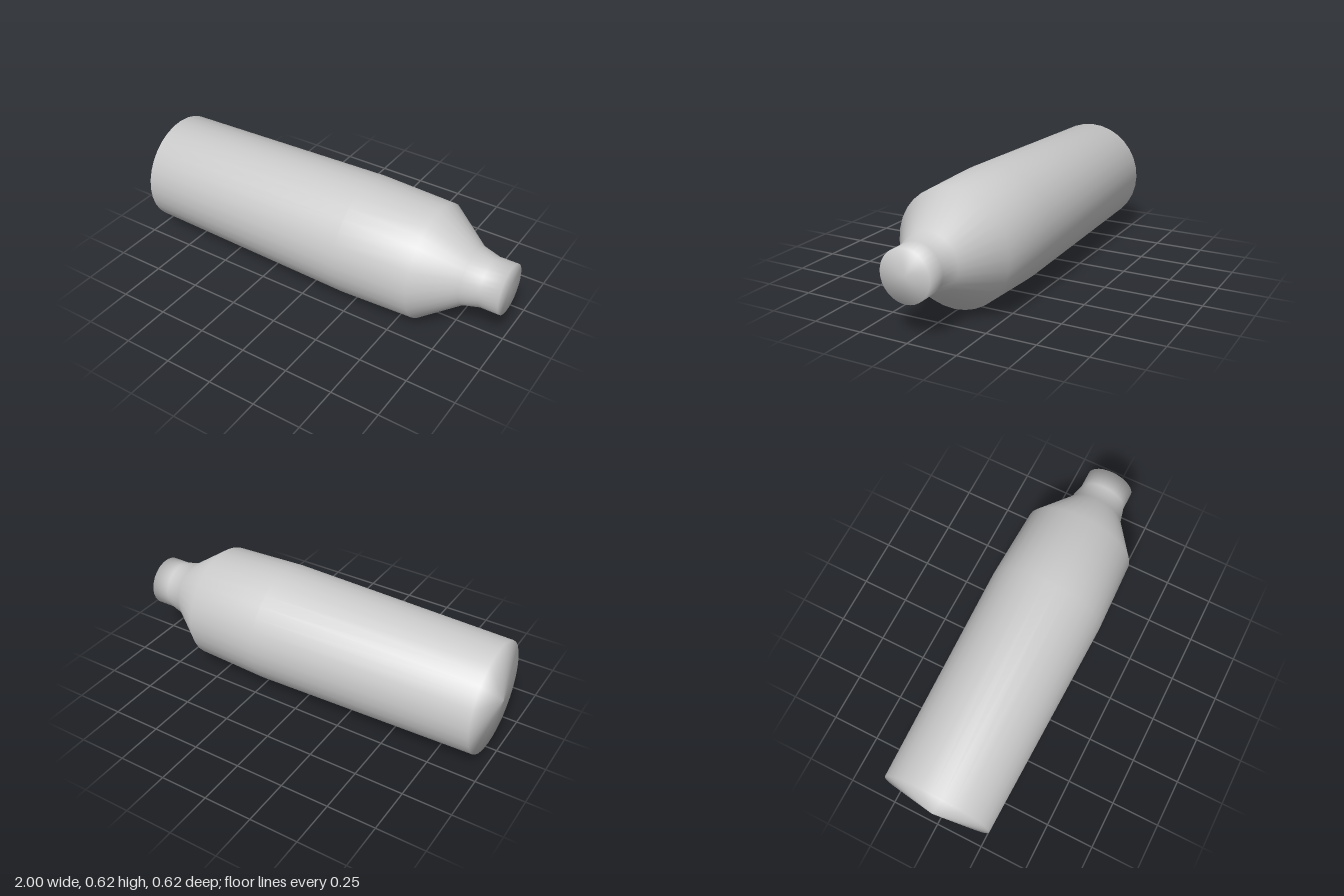
import * as THREE from 'three';

export function createModel() {
  const group = new THREE.Group();
  group.name = 'bottle';

  const grey = new THREE.MeshStandardMaterial({ color: 0xcccccc });
  grey.name = 'light grey';

  // Profile as [radius, position along the axis], base to mouth
  const profile = [
    [0, -1],          // shallow pointed base
    [0.284, -0.952],  // base rim
    [0.309, 0.22],    // widest point
    [0.295, 0.61],    // shoulder
    [0.151, 0.81],    // foot of the neck
    [0.128, 0.9],     // neck
    [0.128, 1],       // mouth rim
    [0, 1],           // closed mouth
  ].map(([r, a]) => new THREE.Vector2(r, a));

  // Smooth turned body, laid on its side with the neck towards +x
  const geometry = new THREE.LatheGeometry(profile, 32);
  geometry.rotateZ(-Math.PI / 2);

  const body = new THREE.Mesh(geometry, grey);
  body.name = 'bottleBody';
  body.position.y = 0.309;
  group.add(body);

  return group;
}
